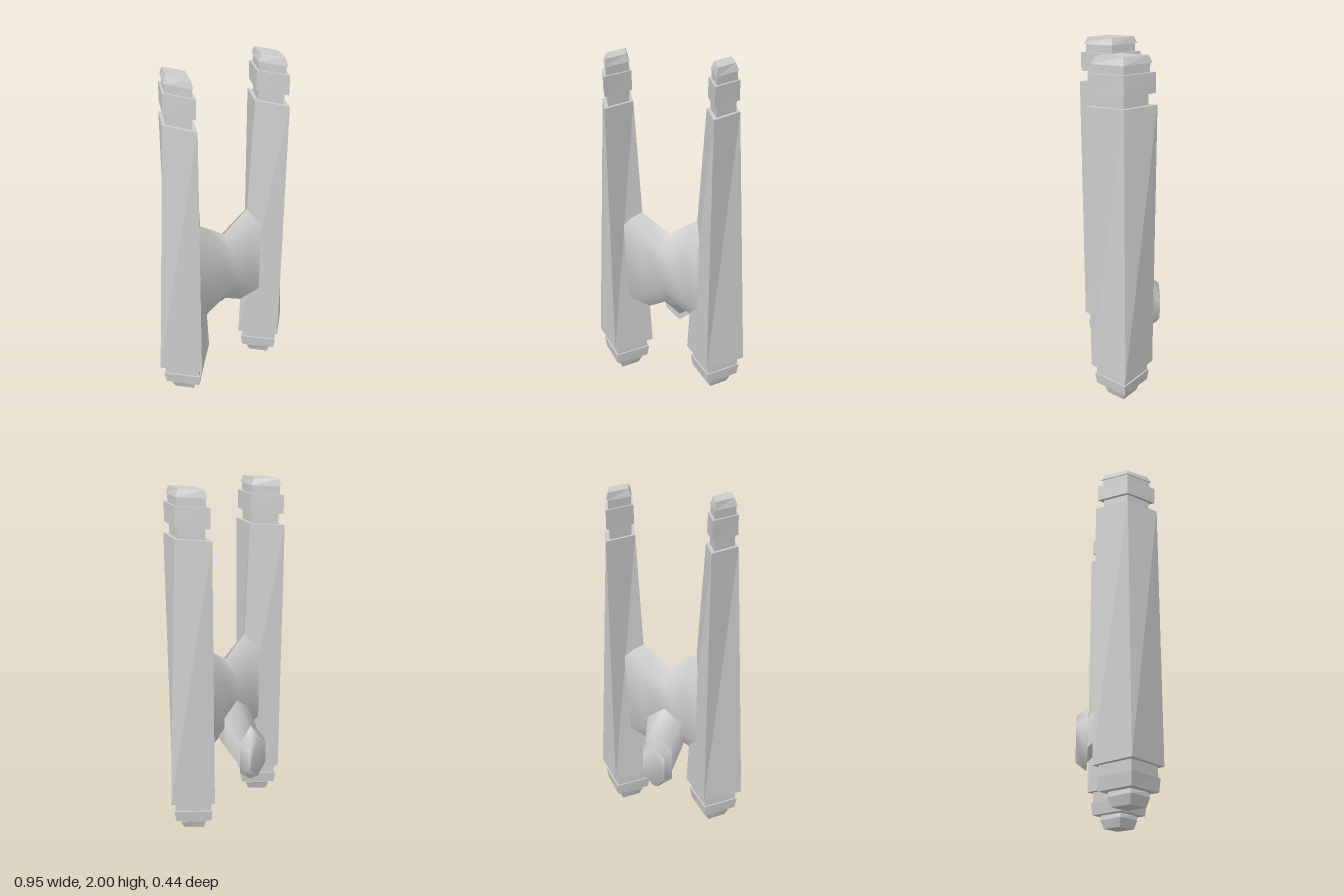
import * as THREE from 'three';
import { toCreasedNormals } from 'three/addons/utils/BufferGeometryUtils.js';

const material = new THREE.MeshStandardMaterial({ color: 0xcccccc });
const flatMaterial = new THREE.MeshStandardMaterial({ color: 0xcccccc, flatShading: true });

// Skin a list of equal-sized rings, closed at both ends.
// Rings run counter-clockwise as seen from the far end.
function loft(rings, crease) {
  const n = rings[0].length, index = [];
  for (let i = 0; i < rings.length - 1; i++) {
    for (let j = 0; j < n; j++) {
      const k = (j + 1) % n;
      const a = i * n + j, b = i * n + k, c = b + n, d = a + n;
      index.push(a, b, c, a, c, d);
    }
  }
  const last = (rings.length - 1) * n;
  for (let j = 1; j < n - 1; j++) {
    index.push(0, j + 1, j, last, last + j, last + j + 1);
  }
  const geometry = new THREE.BufferGeometry();
  geometry.setAttribute('position', new THREE.Float32BufferAttribute(rings.flat(2), 3));
  geometry.setIndex(index);
  geometry.computeVertexNormals();
  return toCreasedNormals(geometry, crease);
}

function part(name, geometry, mat = material) {
  const mesh = new THREE.Mesh(geometry, mat);
  mesh.name = name;
  return mesh;
}

// Diamond-section piece; each level is [y, half width, half depth]
function diamond(levels) {
  return loft(levels.map(([y, w, d]) => [[0, y, d], [w, y, 0], [0, y, -d], [-w, y, 0]]), 0.1);
}

// Tall tapered pylon with stepped collars at both ends
function makePylon(name, x) {
  const pylon = new THREE.Group();
  pylon.name = name;
  pylon.position.set(x, 0, 0.037);
  const pieces = {
    footTip: [[0, 0.08, 0.085], [0.05, 0.105, 0.105], [0.08, 0.092, 0.1]],
    footCollar: [[0.075, 0.143, 0.15], [0.145, 0.155, 0.16]],
    footNeck: [[0.14, 0.142, 0.148], [0.205, 0.142, 0.148]],
    shaft: [[0.205, 0.18, 0.18], [1.75, 0.09, 0.18]],
    topNeck: [[1.74, 0.069, 0.133], [1.82, 0.069, 0.133]],
    topCollar: [[1.81, 0.085, 0.17], [1.915, 0.083, 0.17]],
    topTip: [[1.91, 0.069, 0.14], [1.96, 0.069, 0.14], [1.96, 0.075, 0.152], [2, 0.056, 0.13]],
  };
  for (const [piece, levels] of Object.entries(pieces)) {
    pylon.add(part(piece, diamond(levels), flatMaterial));
  }
  return pylon;
}

// Hexagonal body section at x: ridge, upper edge, lower edge, keel
function bodyRing([x, ridge, upper, lower, keel]) {
  const front = 0.125, back = -0.05, mid = 0.037;
  return [
    [x, ridge, mid], [x, upper, front], [x, lower, front],
    [x, keel, mid], [x, lower, back], [x, upper, back],
  ];
}

// Upright hexagon at z: top, shoulder, hip, bottom, half width
function hexRing([z, top, shoulder, hip, bottom, w]) {
  return [
    [0, top, z], [w, shoulder, z], [w, hip, z],
    [0, bottom, z], [-w, hip, z], [-w, shoulder, z],
  ];
}

export function createModel() {
  const model = new THREE.Group();
  model.name = 'twinPylonCraft';

  model.add(makePylon('leftPylon', 0.295), makePylon('rightPylon', -0.295));

  // Saddle-shaped bridge between the pylons
  const side = [0.295, 1.18, 1.06, 0.53, 0.39];
  const inner = [0.14, 1.075, 0.98, 0.58, 0.448];
  const mirror = ([x, ...rest]) => [-x, ...rest];
  const sections = [mirror(side), mirror(inner), [0, 0.98, 0.89, 0.66, 0.52], inner, side];
  model.add(part('bridge', loft(sections.map(bodyRing), 1.4)));

  // Arm reaching back and down from the bridge
  model.add(part('rearArm', loft([
    [0.03, 0.82, 0.74, 0.56, 0.5, 0.12],
    [-0.05, 0.74, 0.66, 0.48, 0.42, 0.11],
    [-0.165, 0.57, 0.51, 0.35, 0.29, 0.08],
  ].map(hexRing), 1.2)));

  // Hexagonal pod on the end of the arm
  model.add(part('rearPod', loft([
    [-0.16, 0.61, 0.53, 0.33, 0.25, 0.092],
    [-0.22, 0.565, 0.5, 0.36, 0.295, 0.07],
  ].map(hexRing), 1.2)));

  return model;
}
